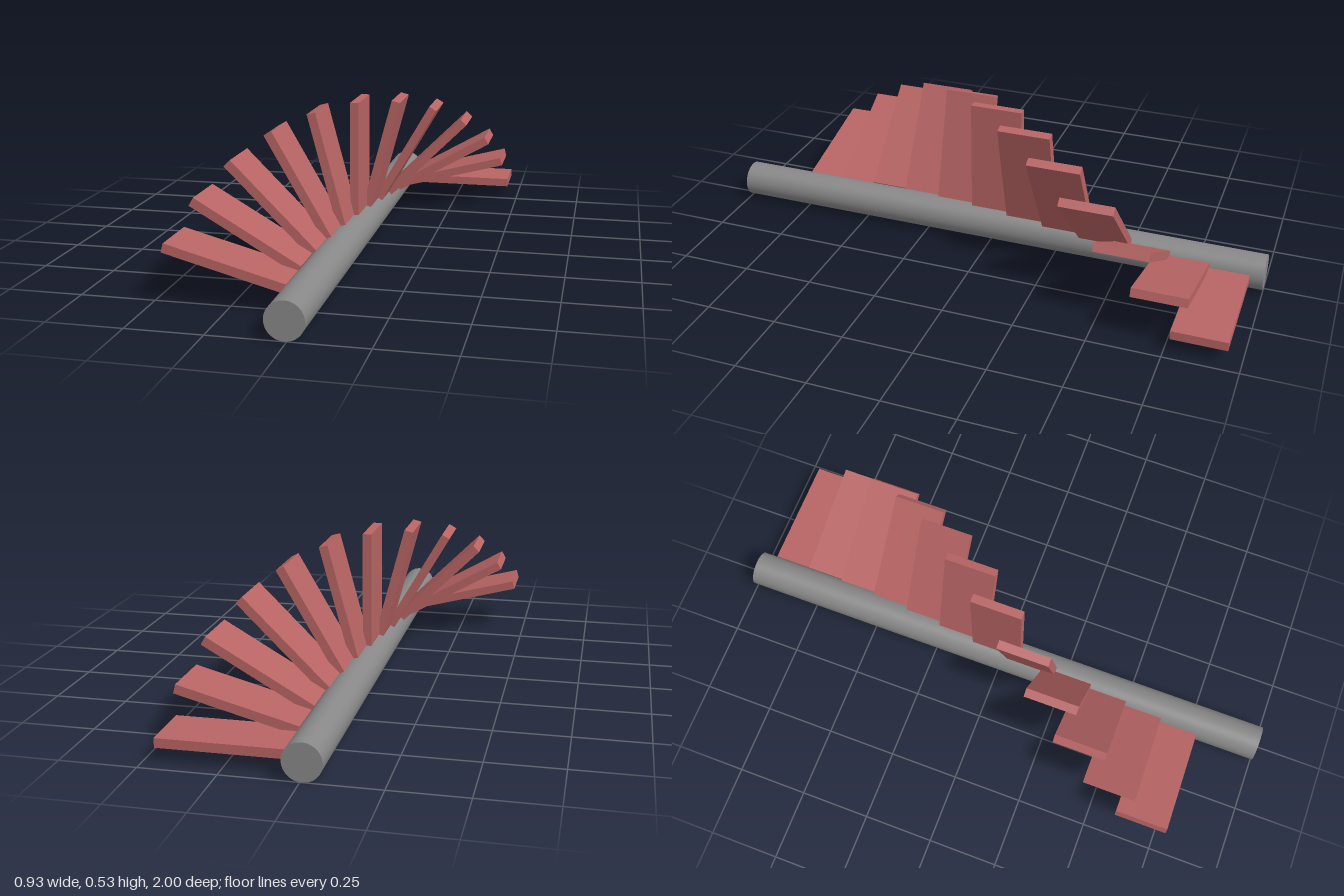
import * as THREE from 'three';

const RADIUS = 0.0625, LENGTH = 2;
const SLATS = 12, STEP = Math.PI / 12;
const REACH = 0.406, THICK = 0.031, WIDTH = 0.187;

export function createModel() {
  const model = new THREE.Group();
  const poleMaterial = new THREE.MeshStandardMaterial({ color: 0x888888 });
  const slatMaterial = new THREE.MeshStandardMaterial({ color: 0xb86464 });

  // Round pole lying along z
  const poleGeometry = new THREE.CylinderGeometry(RADIUS, RADIUS, LENGTH, 64).rotateX(Math.PI / 2);
  const pole = new THREE.Mesh(poleGeometry, poleMaterial);
  pole.name = 'pole';
  model.add(pole);

  // Slats start at the pole's surface and fan round it from back to front
  const slatGeometry = new THREE.BoxGeometry(REACH, THICK, WIDTH).translate(RADIUS + REACH / 2, 0, 0);
  for (let i = 0; i < SLATS; i++) {
    const slat = new THREE.Mesh(slatGeometry, slatMaterial);
    slat.name = `slat${i + 1}`;
    slat.rotation.z = i * STEP;
    slat.position.z = -0.86 + i * 0.1405;
    model.add(slat);
  }

  model.position.set(-0.007, RADIUS, 0);
  const root = new THREE.Group();
  root.name = 'spiralFan';
  model.name = 'poleWithSlats';
  root.add(model);
  return root;
}
